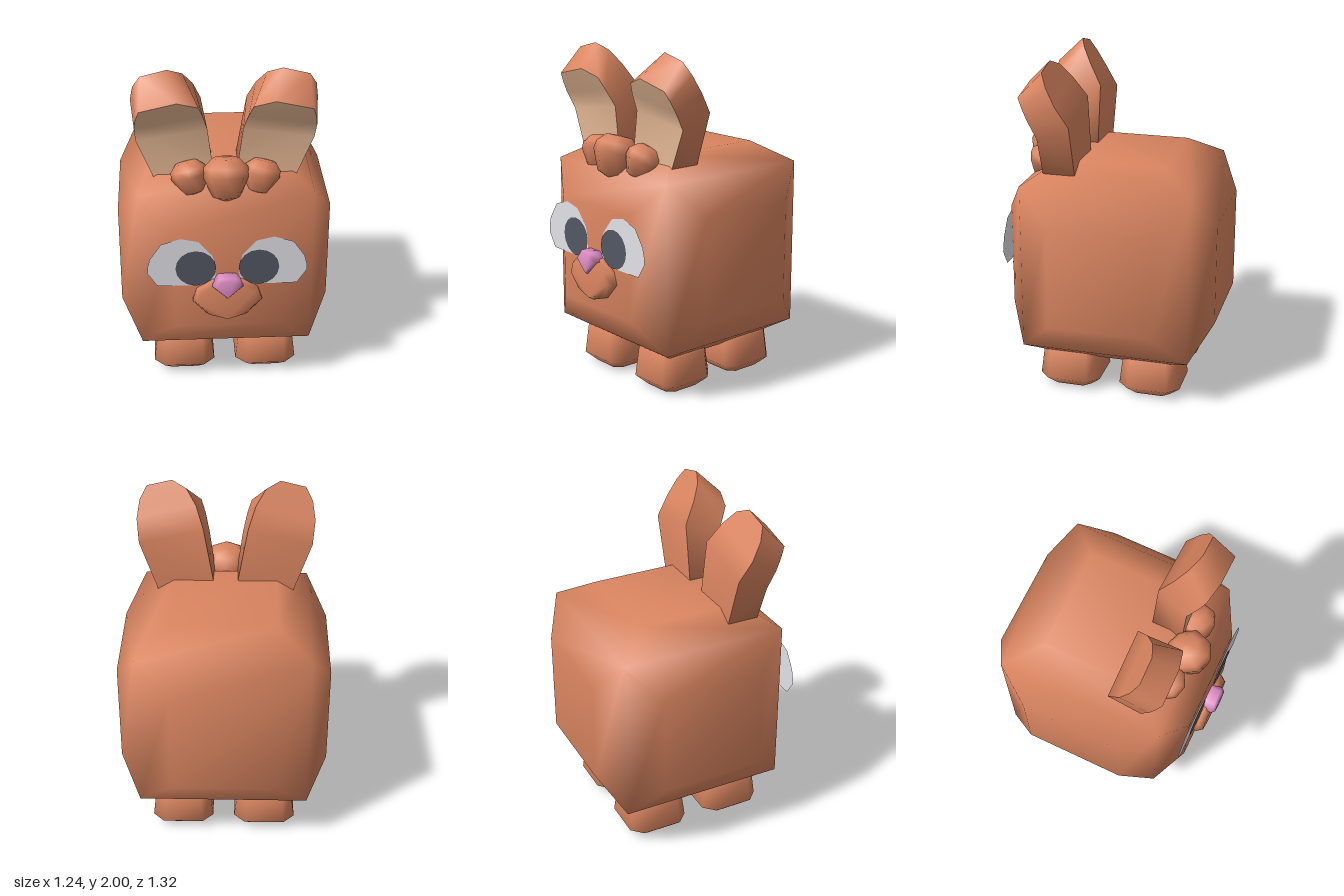
import * as THREE from 'three';
import { mergeVertices } from 'three/addons/utils/BufferGeometryUtils.js';

const mat = (name, color, side = THREE.FrontSide) => {
  const m = new THREE.MeshStandardMaterial({ color, side });
  m.name = name;
  return m;
};

// Indexed geometry from points and polygons, with smooth normals
function build(points, polys, flip = false) {
  const index = [];
  for (const p of polys) {
    for (let k = 1; k < p.length - 1; k++) {
      index.push(...(flip ? [p[0], p[k + 1], p[k]] : [p[0], p[k], p[k + 1]]));
    }
  }
  const g = new THREE.BufferGeometry();
  g.setAttribute('position', new THREE.Float32BufferAttribute(points.flat(), 3));
  g.setIndex(index);
  g.computeVertexNormals();
  return g;
}

// Skin over rings of equal length, counterclockwise around the stacking axis
function loft(rings, capped = true, flip = false) {
  const n = rings[0].length, polys = [];
  for (let i = 0; i < rings.length - 1; i++) {
    for (let j = 0; j < n; j++) {
      const k = (j + 1) % n;
      polys.push([i * n + j, i * n + k, (i + 1) * n + k, (i + 1) * n + j]);
    }
  }
  if (capped) {
    const ids = [...Array(n).keys()];
    polys.push([...ids].reverse(), ids.map(j => (rings.length - 1) * n + j));
  }
  return build(rings.flat(), polys, flip);
}

// Cube whose six faces each bulge into a raised square
function bodyGeometry() {
  const g = new THREE.BoxGeometry(3, 3, 3, 3, 3, 3);
  g.deleteAttribute('normal');
  g.deleteAttribute('uv');
  const p = g.attributes.position;
  for (let i = 0; i < p.count; i++) {
    const v = p.getX(i) === undefined ? [] : [p.getX(i), p.getY(i), p.getZ(i)];
    const onFace = v.filter(c => Math.abs(c) > 1).length === 1;
    const w = v.map(c => Math.sign(c) * (onFace ? (Math.abs(c) > 1 ? 0.62 : 0.31) : 0.5));
    p.setXYZ(i, ...w);
  }
  const m = mergeVertices(g);
  m.computeVertexNormals();
  return m;
}

// Square ring with cut corners
const cutSquare = (a, b, h) =>
  [[a, -b], [a, b], [b, a], [-b, a], [-a, b], [-a, -b], [-b, -a], [b, -a]].map(([x, y]) => [x, y, h]);

// Ear rows from base to tip: inner x, inner y, outer x, outer y, z
const EAR_FRONT = [
  [0.06, 1.34, 0.40, 1.34, 0.345], [0.10, 1.65, 0.50, 1.59, 0.345], [0.125, 1.75, 0.505, 1.69, 0.397],
  [0.15, 1.82, 0.495, 1.755, 0.43], [0.27, 1.862, 0.476, 1.815, 0.46],
];
const EAR_BACK = [
  [0.06, 1.34, 0.40, 1.34, 0.155], [0.13, 1.76, 0.51, 1.67, 0.155], [0.175, 1.88, 0.525, 1.79, 0.23],
  [0.233, 1.963, 0.508, 1.89, 0.285], [0.317, 2.0, 0.466, 1.963, 0.32],
];

function ear(s, fur, lining) {
  const inner = r => [s * r[0], r[1], r[4]], outer = r => [s * r[2], r[3], r[4]];
  const strip = rows => rows.flatMap(r => [inner(r), outer(r)]);
  const quads = [0, 2, 4, 6].map(i => [i, i + 1, i + 3, i + 2]);
  const rim = rows => [...rows.map(outer), ...[...rows].reverse().map(inner)];
  const group = new THREE.Group();
  const parts = [
    ['earLining', build(strip(EAR_FRONT), quads, s < 0), lining],
    ['earBack', build(strip(EAR_BACK), quads, s > 0), fur],
    ['earRim', loft([rim(EAR_BACK), rim(EAR_FRONT)], false, s < 0), fur],
  ];
  for (const [name, g, m] of parts) {
    const mesh = new THREE.Mesh(g, m);
    mesh.name = name;
    group.add(mesh);
  }
  return group;
}

export function createModel() {
  const fur = mat('fur brown', 0xda8560);
  const lining = mat('ear tan', 0xeebf9a);
  const pink = mat('nose pink', 0xe290c8);
  const white = mat('eye white', 0xe4e4ea, THREE.DoubleSide);
  const dark = mat('pupil grey', 0x525763, THREE.DoubleSide);

  const model = new THREE.Group();
  model.name = 'rabbit';
  const add = (name, geometry, material, x = 0, y = 0, z = 0) => {
    const mesh = new THREE.Mesh(geometry, material);
    mesh.name = name;
    mesh.position.set(x, y, z);
    model.add(mesh);
    return mesh;
  };

  add('body', bodyGeometry(), fur, 0, 0.8, -0.04);

  // Feet
  const foot = loft([cutSquare(0.12, 0.08, 0), cutSquare(0.185, 0.12, 0.06),
    cutSquare(0.165, 0.11, 0.23), cutSquare(0.13, 0.09, 0.25)]);
  foot.rotateX(-Math.PI / 2);
  for (const s of [1, -1]) {
    const side = s > 0 ? 'left' : 'right';
    add(side + 'FrontFoot', foot, fur, s * 0.25, 0, 0.21);
    add(side + 'BackFoot', foot, fur, s * 0.25, 0, -0.285);
  }

  // Tuft of three rounded lumps on the forehead
  const lump = new THREE.LatheGeometry([[0, -0.13], [0.08, -0.1], [0.132, 0.02], [0.125, 0.07],
    [0.075, 0.12], [0, 0.125]].map(([x, y]) => new THREE.Vector2(x, y)), 8);
  add('middleTuft', lump, fur, 0, 1.38, 0.43).rotation.x = -0.3;

  // Ears, side tufts and eyes
  const eyeShape = new THREE.Shape([[0.09, 0.775], [0.40, 0.775], [0.455, 0.86], [0.455, 0.9], [0.44, 0.957],
    [0.375, 1.053], [0.265, 1.087], [0.164, 1.064], [0.085, 0.97], [0.065, 0.89], [0.07, 0.82]]
    .map(([x, y]) => new THREE.Vector2(x, y)));
  const eyeGeometry = new THREE.ShapeGeometry(eyeShape);
  const pupilGeometry = new THREE.CircleGeometry(0.116, 16);
  for (const s of [1, -1]) {
    const side = s > 0 ? 'left' : 'right';
    const e = ear(s, fur, lining);
    e.name = side + 'Ear';
    model.add(e);

    const tuft = add(side + 'Tuft', lump, fur, s * 0.2, 1.37, 0.39);
    tuft.scale.setScalar(0.8);
    tuft.rotation.set(-0.3, 0, -s * 0.25);

    const eye = add(side + 'Eye', eyeGeometry, white, 0, 0, 0.584);
    if (s < 0) eye.rotation.y = Math.PI;
    add(side + 'Pupil', pupilGeometry, dark, s * 0.18, 0.89, 0.588);
  }

  // Muzzle and nose, bevelled towards the front
  const mirrorRing = (half, z, k = 1, cy = 0) => {
    const pts = half.map(([x, y]) => [x * k, cy + (y - cy) * k, z]);
    const left = pts.filter(p => p[0] > 0).reverse().map(([x, y]) => [-x, y, z]);
    return [...pts, ...left];
  };
  const muzzle = [[0, 0.547], [0.115, 0.585], [0.2, 0.68], [0.175, 0.755], [0.085, 0.815]];
  add('muzzle', loft([mirrorRing(muzzle, 0.54), mirrorRing(muzzle, 0.6),
    mirrorRing(muzzle, 0.635, 0.86, 0.69)]), fur);
  const nose = [[0, 0.715], [0.088, 0.8], [0.048, 0.848]];
  add('nose', loft([mirrorRing(nose, 0.57), mirrorRing(nose, 0.643),
    mirrorRing(nose, 0.662, 0.8, 0.79)]), pink);

  return model;
}
